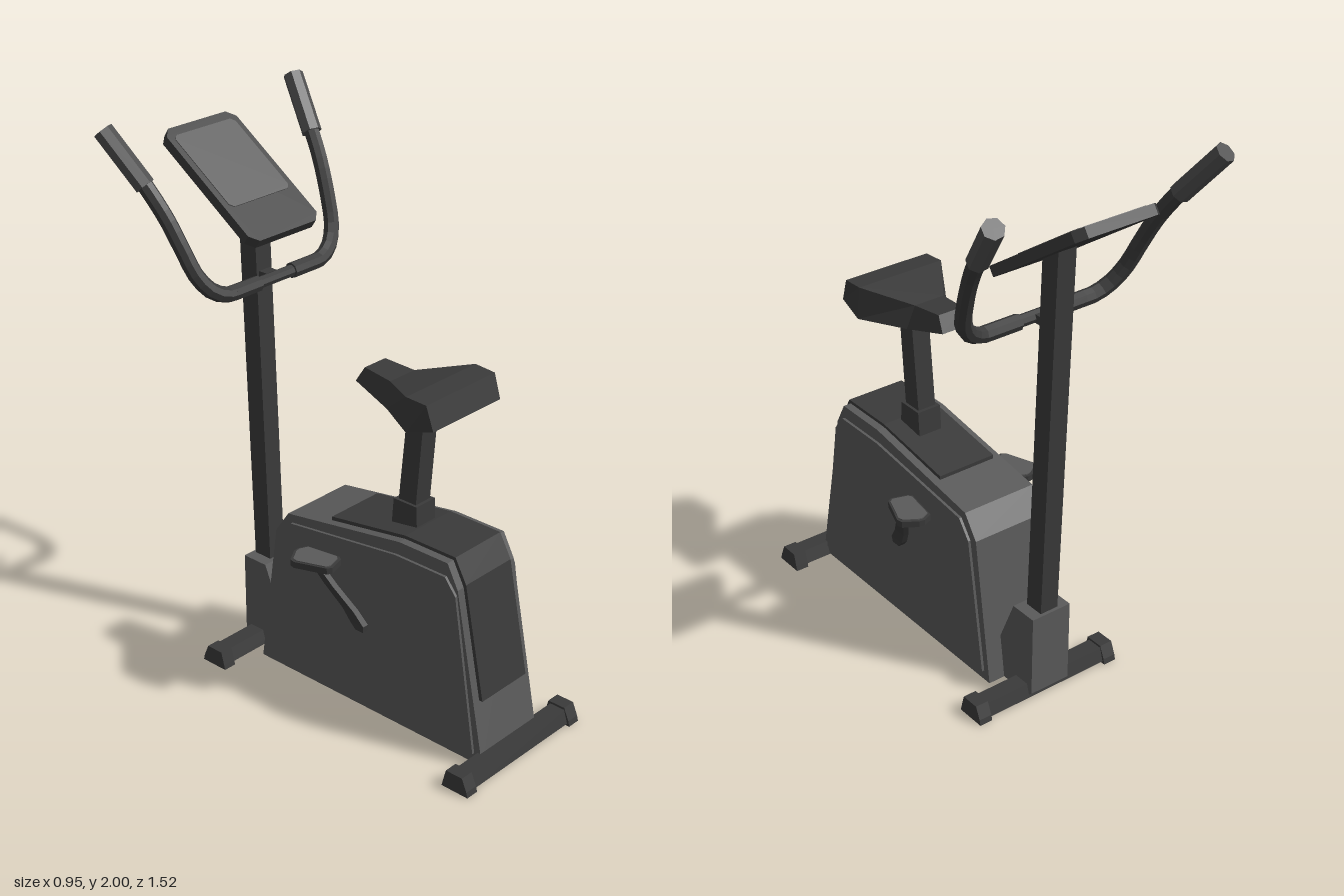
import * as THREE from 'three';

const mat = (name, color) => {
  const m = new THREE.MeshStandardMaterial({ color });
  m.name = name;
  return m;
};

// Faceted normals for low-poly parts
const facet = (g) => {
  const f = g.index ? g.toNonIndexed() : g;
  f.computeVertexNormals();
  return f;
};

// Mirror a non-indexed geometry in x, keeping faces outward
function mirrorX(geo) {
  const g = geo.clone().scale(-1, 1, 1), p = g.attributes.position;
  const a = new THREE.Vector3(), b = new THREE.Vector3();
  for (let i = 0; i < p.count; i += 3) {
    a.fromBufferAttribute(p, i + 1);
    b.fromBufferAttribute(p, i + 2);
    p.setXYZ(i + 1, b.x, b.y, b.z);
    p.setXYZ(i + 2, a.x, a.y, a.z);
  }
  g.computeVertexNormals();
  return g;
}

const polygon = (pts) => new THREE.Shape(pts.map(([x, y]) => new THREE.Vector2(x, y)));
const extrude = (shape, depth) => new THREE.ExtrudeGeometry(shape, { depth, bevelEnabled: false });

// Side profile of [z, y] points, extruded across x from x0 to x1
const side = (pts, x0, x1) =>
  extrude(polygon(pts.map(([z, y]) => [-z, y])), x1 - x0).rotateY(Math.PI / 2).translate(x0, 0, 0);

// Solid through a row of four-cornered rings
function loft(rings) {
  const pos = [];
  const tri = (...v) => v.forEach((q) => pos.push(...q));
  const quad = (a, b, c, d) => { tri(a, b, c); tri(a, c, d); };
  for (let r = 0; r < rings.length - 1; r++) {
    const A = rings[r], B = rings[r + 1];
    for (let i = 0; i < 4; i++) {
      const j = (i + 1) % 4;
      quad(A[i], B[i], B[j], A[j]);
    }
  }
  quad(...rings[0]);
  quad(...[...rings[rings.length - 1]].reverse());
  const g = new THREE.BufferGeometry();
  g.setAttribute('position', new THREE.Float32BufferAttribute(pos, 3));
  return facet(g);
}

// Faceted cylinder between two points
function rod(from, to, r, sides) {
  const a = new THREE.Vector3(...from), b = new THREE.Vector3(...to), d = b.clone().sub(a);
  const g = new THREE.CylinderGeometry(r, r, d.length(), sides);
  g.applyQuaternion(new THREE.Quaternion().setFromUnitVectors(new THREE.Vector3(0, 1, 0), d.normalize()));
  g.translate((a.x + b.x) / 2, (a.y + b.y) / 2, (a.z + b.z) / 2);
  return facet(g);
}

// Rectangle with chamfered corners
const chamfered = (w, h, c) => polygon([
  [-w + c, -h], [w - c, -h], [w, -h + c], [w, h - c], [w - c, h], [-w + c, h], [-w, h - c], [-w, -h + c],
]);

export function createModel() {
  const model = new THREE.Group();
  model.name = 'exerciseBike';
  const shell = mat('shellGrey', 0x5a5a5a);
  const dark = mat('darkGrey', 0x3a3a3a);
  const gripGrey = mat('gripGrey', 0x4e4e4e);

  const add = (name, geo, material, parent = model) => {
    const m = new THREE.Mesh(geo, material);
    m.name = name;
    parent.add(m);
    return m;
  };
  const addPair = (name, geo, material) => {
    add('left' + name, geo, material);
    add('right' + name, mirrorX(geo), material);
  };

  // Main housing with raised side panels
  add('housing', side([
    [0.695, 0.012], [0.572, 0.64], [0.527, 0.725], [0.32, 0.725], [-0.19, 0.645], [-0.25, 0.56], [-0.33, 0.012],
  ], -0.145, 0.145), shell);
  addPair('SidePanel', side([
    [0.66, 0.05], [0.57, 0.62], [0.525, 0.677], [0.31, 0.677], [-0.17, 0.617], [-0.22, 0.55], [-0.3, 0.05],
  ], 0.14, 0.155), shell);

  // Dark cover wrapping over the top and the rear of the housing
  add('housingCover', side([
    [0.664, 0.24], [0.582, 0.652], [0.535, 0.737], [0.32, 0.737], [-0.01, 0.687],
    [-0.01, 0.65], [0.3, 0.69], [0.5, 0.69], [0.55, 0.62], [0.63, 0.24],
  ], -0.115, 0.115), dark);

  // Column base
  add('columnBase', side([
    [-0.3, 0.012], [-0.3, 0.16], [-0.375, 0.34], [-0.48, 0.34], [-0.48, 0.03], [-0.46, 0.012],
  ], -0.08, 0.08), shell);

  // Floor bars with end caps
  for (const [name, z] of [['front', 0.705], ['rear', -0.425]]) {
    const s = Math.sign(z);
    add(name + 'FloorBar', side([
      [z - 0.045, 0.008], [z + 0.045, 0.008], [z + 0.03, 0.058], [z - 0.03, 0.058],
    ], -0.27, 0.27), dark);
    const cap = side([
      [z - 0.055, 0], [z + 0.055, 0], [z + 0.05, 0.02], [z + 0.034 - s * 0.004, 0.066],
      [z - 0.034 - s * 0.004, 0.066], [z - 0.05, 0.02],
    ], 0.25, 0.3);
    add(name + 'LeftFootCap', cap, dark);
    add(name + 'RightFootCap', mirrorX(cap), dark);
  }

  // Upright column
  add('column', side([
    [-0.393, 0.33], [-0.435, 1.66], [-0.51, 1.712], [-0.467, 0.33],
  ], -0.036, 0.036), dark);

  // Seat post, collar and saddle
  add('seatPostCollar', side([
    [0.312, 0.71], [0.308, 0.81], [0.208, 0.81], [0.2, 0.71],
  ], -0.047, 0.047), dark);
  add('seatPost', side([
    [0.295, 0.8], [0.327, 1.17], [0.257, 1.17], [0.22, 0.8],
  ], -0.036, 0.036), dark);
  // Each row: top z, y, half width; bottom z, y, half width
  add('saddle', loft([
    [0.447, 1.27, 0.17, 0.475, 1.185, 0.167],
    [0.365, 1.275, 0.172, 0.37, 1.155, 0.178],
    [0.2, 1.24, 0.06, 0.21, 1.155, 0.088],
    [0.08, 1.25, 0.05, 0.047, 1.195, 0.058],
  ].map(([zt, yt, wt, zb, yb, wb]) => [[-wb, yb, zb], [wb, yb, zb], [wt, yt, zt], [-wt, yt, zt]])), dark);

  // Cranks, each ring: centre x, y, z, half sizes in x and z
  addPair('Crank', loft([
    [0.166, 0.335, 0.172, 0.012, 0.018],
    [0.169, 0.36, 0.163, 0.012, 0.03],
    [0.18, 0.41, 0.132, 0.011, 0.026],
    [0.215, 0.5, 0.075, 0.011, 0.021],
    [0.236, 0.57, 0.03, 0.011, 0.018],
  ].map(([x, y, z, a, b]) => [[x - a, y, z - b], [x + a, y, z - b], [x + a, y, z + b], [x - a, y, z + b]])), dark);

  // Pedals with a thin tread pad
  const outline = [
    [0.19, -0.055], [0.225, -0.07], [0.245, -0.067], [0.295, -0.035], [0.3, -0.015],
    [0.258, 0.098], [0.24, 0.108], [0.18, 0.09], [0.17, 0.075],
  ];
  const plate = (k, y, h) => extrude(polygon(outline.map(([x, z]) =>
    [0.235 + (x - 0.235) * k, -(0.02 + (z - 0.02) * k)])), h).rotateX(-Math.PI / 2).translate(0, y, 0);
  addPair('Pedal', plate(1, 0.563, 0.023), dark);
  addPair('PedalPad', plate(0.88, 0.585, 0.005), shell);

  // Handlebar: thin middle, sleeves, swept arms and grips
  add('handlebarMiddle', rod([-0.1, 1.43, -0.378], [0.1, 1.43, -0.378], 0.021, 8), dark);
  add('handlebarBracket', new THREE.BoxGeometry(0.05, 0.03, 0.06).translate(0, 1.43, -0.408), dark);
  addPair('HandlebarSleeve', rod([0.08, 1.43, -0.378], [0.2, 1.43, -0.378], 0.028, 8), dark);
  const path = new THREE.CatmullRomCurve3([
    [0.18, 1.43, -0.378], [0.23, 1.433, -0.38], [0.285, 1.462, -0.393], [0.325, 1.52, -0.418],
    [0.345, 1.6, -0.452], [0.365, 1.7, -0.5], [0.38, 1.765, -0.54], [0.393, 1.82, -0.58],
  ].map((p) => new THREE.Vector3(...p)));
  addPair('HandlebarArm', facet(new THREE.TubeGeometry(path, 14, 0.028, 8)), dark);
  addPair('Grip', rod([0.391, 1.807, -0.572], [0.441, 1.977, -0.708], 0.036, 7), gripGrey);

  // Tilted console with screen
  const console = new THREE.Group();
  console.name = 'console';
  console.position.set(0, 1.745, -0.533);
  console.rotation.x = -0.97;
  model.add(console);
  add('consoleCase', extrude(chamfered(0.163, 0.258, 0.03), 0.036).translate(0, 0, -0.018), dark, console);
  add('consoleScreen', extrude(chamfered(0.14, 0.165, 0.015), 0.005).translate(0, 0.058, 0.016), shell, console);

  return model;
}
